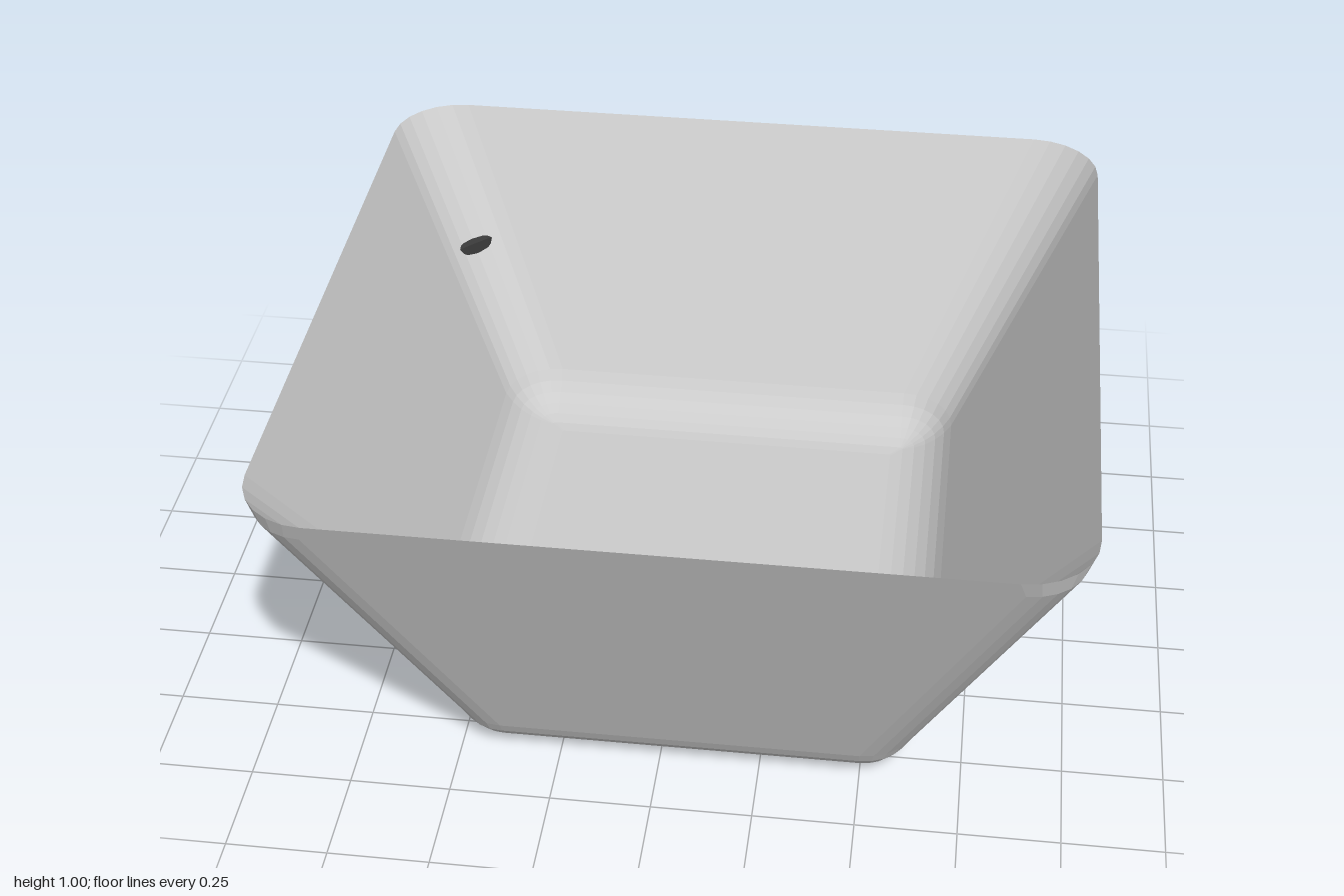
import * as THREE from 'three';

const RIM = 0.945, CORNER = 0.135;

// Profile from the middle of a floor, round its fillet, to the start of the wall.
// Each point is [half width, height, corner radius].
function basin(foot, slope, R, steps = 6) {
  const turn = Math.PI / 2 - Math.atan(slope);
  const floorY = 1 - (RIM - foot - R * Math.tan(turn / 2)) / slope;
  const wallStart = foot + R * Math.sin(turn);
  const points = [[0, floorY, 0]];
  for (let i = 0; i <= steps; i++) {
    const a = (turn * i) / steps;
    const h = foot + R * Math.sin(a);
    points.push([h, floorY + R * (1 - Math.cos(a)), Math.max(0.005, CORNER - wallStart + h)]);
  }
  return points;
}

// Square bowl: rounded-square rings up the outside, over a sharp rim and down the inside
function bowlGeometry() {
  const seg = 6, n = 4 * (seg + 1), outerSlope = 0.415;
  const profile = [
    ...basin(0.4, outerSlope, 0.195),
    [RIM - 0.05 * outerSlope, 0.95, CORNER],
    [RIM, 1, 0.17],
    ...basin(0.452, 0.53, 0.18).reverse(),
  ];

  const pos = [], idx = [];
  for (const [h, y, r] of profile) {
    for (let c = 0; c < 4; c++) {
      const mid = Math.PI / 4 + (c * Math.PI) / 2;
      const sx = Math.sign(Math.cos(mid)), sz = Math.sign(Math.sin(mid));
      for (let k = 0; k <= seg; k++) {
        const a = ((c + k / seg) * Math.PI) / 2;
        pos.push(sx * (h - r) + r * Math.cos(a), y, sz * (h - r) + r * Math.sin(a));
      }
    }
  }
  for (let i = 0; i < profile.length - 1; i++) {
    for (let j = 0; j < n; j++) {
      const a = i * n + j, b = i * n + ((j + 1) % n);
      idx.push(a, a + n, b, b, a + n, b + n);
    }
  }
  const g = new THREE.BufferGeometry();
  g.setAttribute('position', new THREE.Float32BufferAttribute(pos, 3));
  g.setIndex(idx);
  g.computeVertexNormals();
  return g;
}

// Bracket handle: C-shaped outline (distance from the axis, height) with rounded edges
function handleGeometry() {
  const width = 0.128, bevel = 0.032, out = 1.368, inner = 1.29, c = 0.025;
  const bottom = 0.137, top = 0.697;
  const s = new THREE.Shape();
  s.moveTo(0.68, bottom);
  s.lineTo(out - c, bottom);
  s.quadraticCurveTo(out, bottom, out, bottom + c);
  s.lineTo(out, top - c);
  s.quadraticCurveTo(out, top, out - c, top);
  s.lineTo(0.943, top);
  s.lineTo(0.943, 0.562);
  s.lineTo(inner, 0.562);
  s.lineTo(inner, 0.217);
  s.lineTo(0.68, 0.217);
  s.closePath();
  const g = new THREE.ExtrudeGeometry(s, {
    depth: width - 2 * bevel, bevelEnabled: true, bevelThickness: bevel,
    bevelSize: bevel, bevelOffset: -bevel, bevelSegments: 4, curveSegments: 4,
  });
  g.translate(0, 0, -(width - 2 * bevel) / 2);
  return g;
}

export function createModel() {
  const model = new THREE.Group();
  model.name = 'squareCup';

  const bowl = new THREE.Mesh(bowlGeometry(), new THREE.MeshStandardMaterial({
    color: 0xcccccc, flatShading: true,
  }));
  bowl.name = 'bowl';
  bowl.position.set(0.055, 0, 0.055);
  model.add(bowl);

  // Handle points out of the back corner along the diagonal
  const handle = new THREE.Mesh(handleGeometry(), new THREE.MeshStandardMaterial({ color: 0x3c3c3c }));
  handle.name = 'handle';
  handle.rotation.y = (3 * Math.PI) / 4;
  model.add(handle);

  return model;
}
